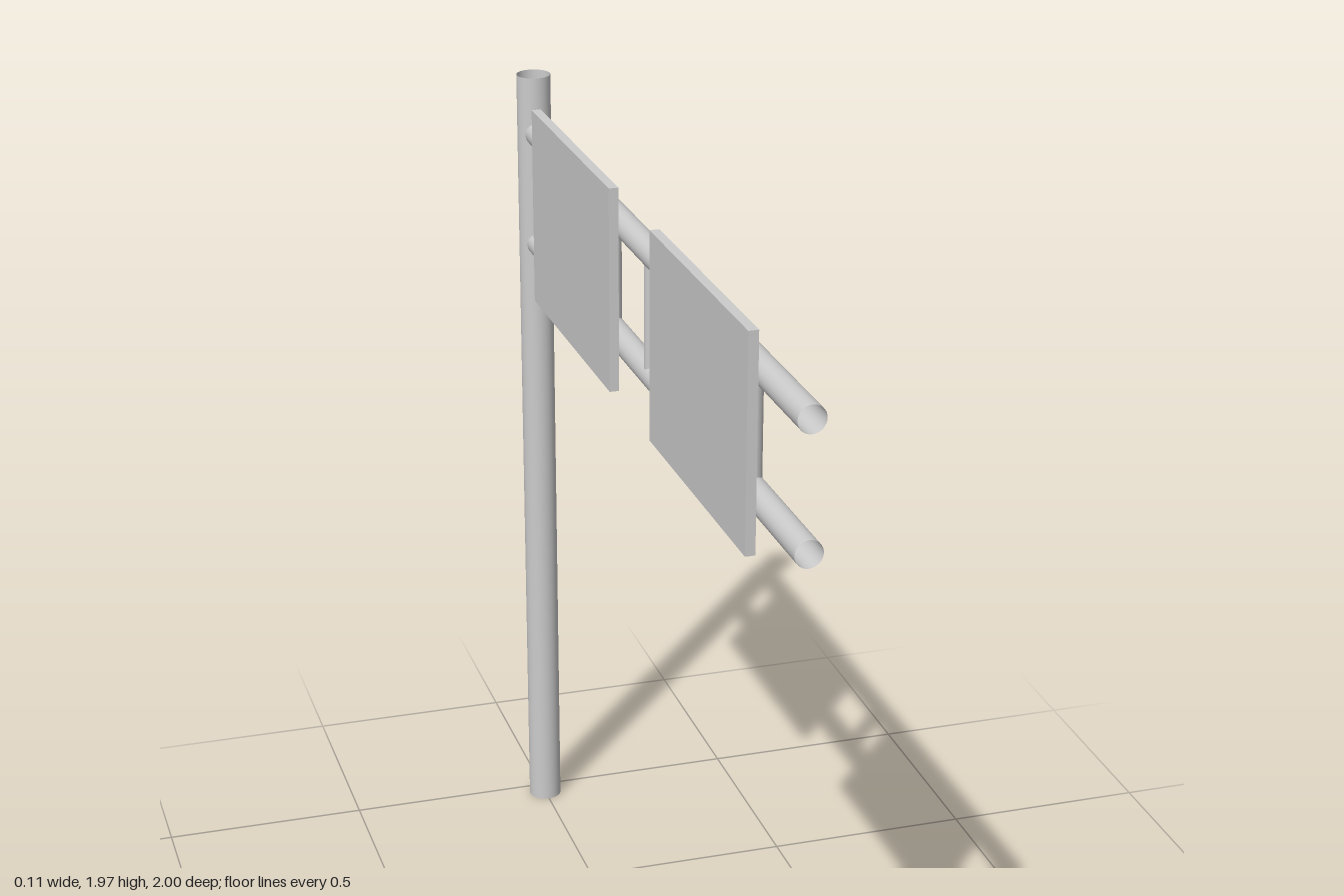
import * as THREE from 'three';

export function createModel() {
  const model = new THREE.Group();
  model.name = 'overheadSignGantry';
  const solid = new THREE.MeshStandardMaterial({ color: 0xcccccc });
  const tubeMaterial = new THREE.MeshStandardMaterial({ color: 0xcccccc, side: THREE.DoubleSide });

  // Hollow tube, open at both ends, standing along y
  function tube(name, radius, length, parent) {
    const geometry = new THREE.CylinderGeometry(radius, radius, length, 32, 1, true);
    const mesh = new THREE.Mesh(geometry, tubeMaterial);
    mesh.name = name;
    parent.add(mesh);
    return mesh;
  }

  // Upright post
  tube('post', 0.041, 1.97, model).position.set(0, 0.985, -0.959);

  // Cantilever arm, turned very slightly about the vertical
  const arm = new THREE.Group();
  arm.name = 'arm';
  arm.position.set(0.01, 0, 0.03);
  arm.rotation.y = 0.0103;
  model.add(arm);

  // Two horizontal rails
  const railHeights = [1.83, 1.553];
  for (const y of railHeights) {
    const rail = tube('rail', 0.03, 1.94, arm);
    rail.rotation.x = Math.PI / 2;
    rail.position.y = y;
  }

  // Five struts between the rails
  for (let i = -2; i <= 2; i++) {
    const strut = tube('strut', 0.023, railHeights[0] - railHeights[1], arm);
    strut.position.set(0, (railHeights[0] + railHeights[1]) / 2, i * 0.322 - 0.015);
  }

  // Two sign panels fixed to one side of the rails
  for (const z of [-0.482, 0.447]) {
    const panel = new THREE.Mesh(new THREE.BoxGeometry(0.022, 0.473, 0.632), solid);
    panel.name = 'signPanel';
    panel.position.set(-0.046, 1.702, z);
    arm.add(panel);
  }

  return model;
}
